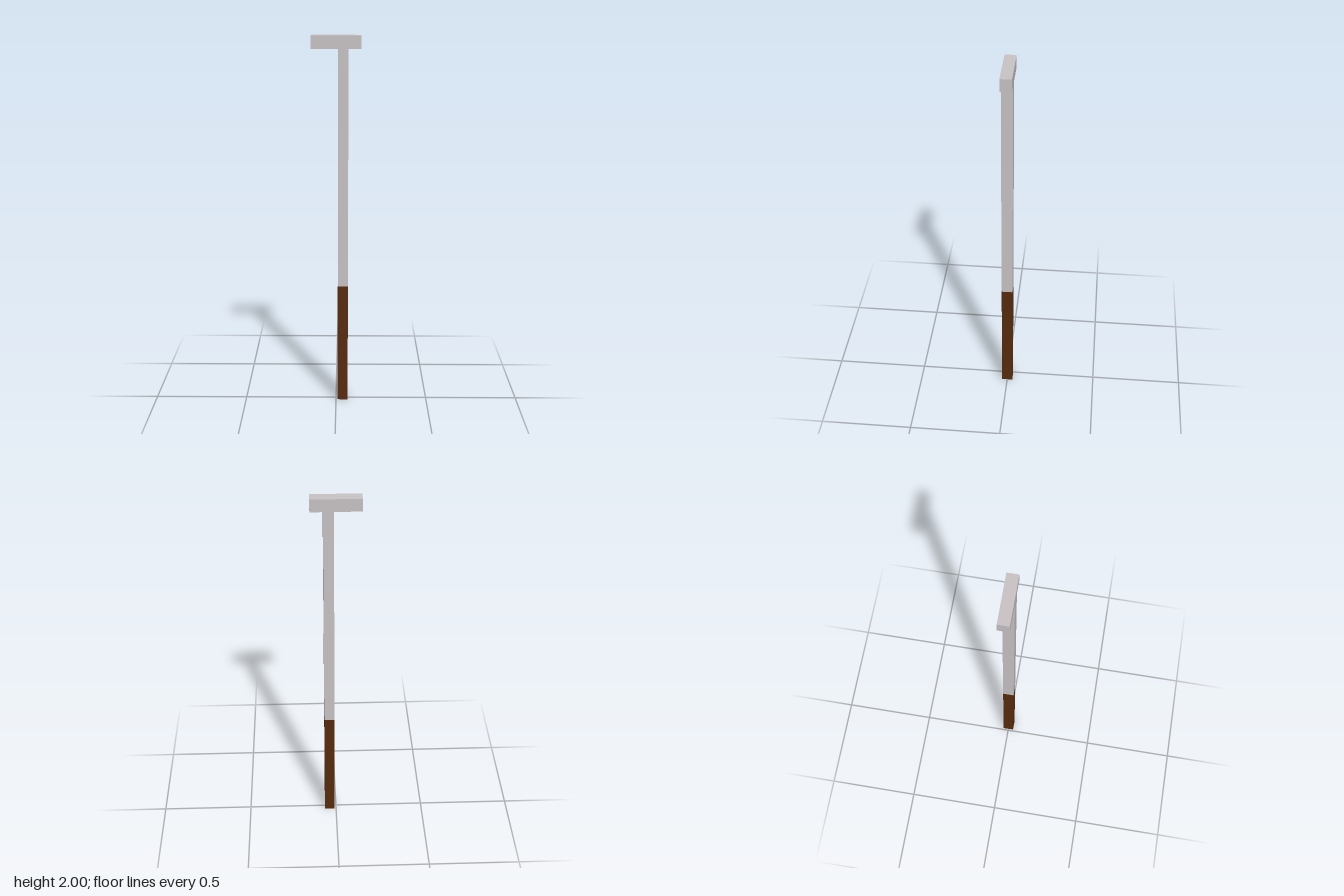
import * as THREE from 'three';

const metal = new THREE.MeshStandardMaterial({ color: 0xc9c3c5, flatShading: true });
const wood = new THREE.MeshStandardMaterial({ color: 0x582b0f, flatShading: true });

const DEPTH = 0.06;
const SHAFT_WIDTH = 0.055;
const SHAFT_X = 0.037; // the shaft sits off-centre under the head
const GRIP_TOP = 0.657;
const HEAD_BOTTOM = 1.932;

// Square bar spanning y0 to y1, centred on x
function bar(name, width, y0, y1, x, material) {
  const mesh = new THREE.Mesh(new THREE.BoxGeometry(width, y1 - y0, DEPTH), material);
  mesh.name = name;
  mesh.position.set(x, (y0 + y1) / 2, 0);
  return mesh;
}

export function createModel() {
  const hammer = new THREE.Group();
  hammer.name = 'longHammer';
  hammer.add(
    bar('grip', SHAFT_WIDTH, 0, GRIP_TOP, SHAFT_X, wood),
    bar('shaft', SHAFT_WIDTH, GRIP_TOP, HEAD_BOTTOM, SHAFT_X, metal),
    bar('head', 0.26, HEAD_BOTTOM, 2, 0, metal)
  );
  return hammer;
}
